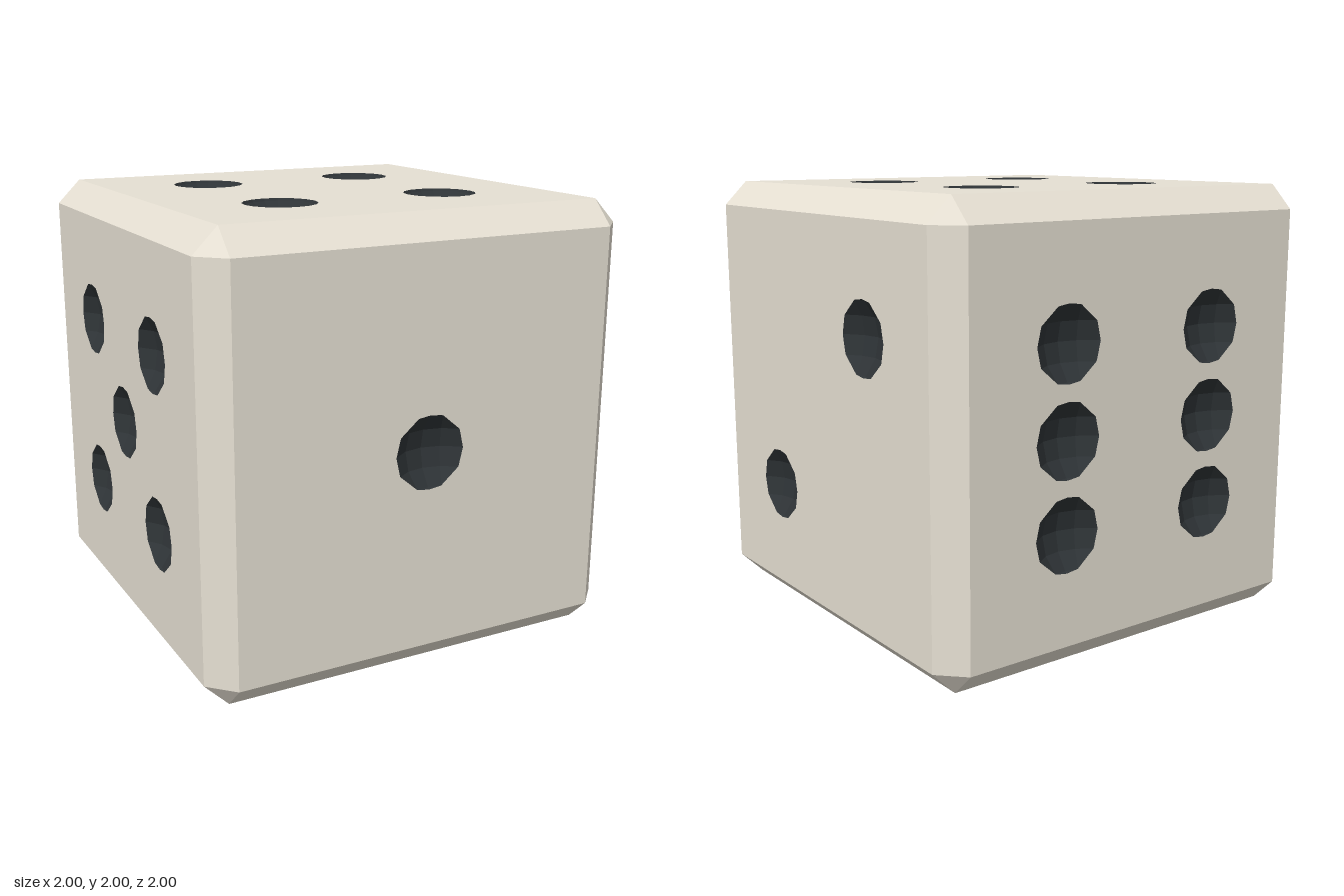
import * as THREE from 'three';

const H = 1;          // half size of the cube
const F = 0.89;       // half size of a flat face inside the chamfer
const S = 0.4;        // pip spacing
const R = 0.222;      // radius of the sphere that cuts a pip
const OFFSET = 0.146; // sphere centre above the face

const bodyMat = new THREE.MeshStandardMaterial({ color: 0xe6e0d3, flatShading: true });
const pipMat = new THREE.MeshStandardMaterial({ color: 0x2e3336, flatShading: true });
const V = (x, y, z) => new THREE.Vector3(x, y, z);

// face normal n, in-plane axes u x v = n, and pip positions along u and v
const FACES = [
  { name: 'front', n: V(0, 0, 1), u: V(1, 0, 0), v: V(0, 1, 0), pips: [[0, 0]] },
  { name: 'left', n: V(1, 0, 0), u: V(0, 0, -1), v: V(0, 1, 0), pips: [[1, 1], [-1, -1]] },
  { name: 'bottom', n: V(0, -1, 0), u: V(1, 0, 0), v: V(0, 0, 1), pips: [[1, -1], [0, 0], [-1, 1]] },
  { name: 'top', n: V(0, 1, 0), u: V(1, 0, 0), v: V(0, 0, -1), pips: [[1, 1], [1, -1], [-1, 1], [-1, -1]] },
  { name: 'right', n: V(-1, 0, 0), u: V(0, 0, 1), v: V(0, 1, 0), pips: [[1, 1], [1, -1], [0, 0], [-1, 1], [-1, -1]] },
  { name: 'back', n: V(0, 0, -1), u: V(-1, 0, 0), v: V(0, 1, 0), pips: [[1, 1], [1, 0], [1, -1], [-1, 1], [-1, 0], [-1, -1]] },
];

function geometryFrom(points) {
  const g = new THREE.BufferGeometry().setFromPoints(points);
  g.computeVertexNormals();
  return g;
}

// bowl below a face: a faceted sphere clipped by the face plane and turned inside out
function makeBowl({ n, u, v }) {
  const pos = new THREE.SphereGeometry(R, 16, 8).toNonIndexed().attributes.position;
  const out = [], rim = [];
  for (let i = 0; i < pos.count; i += 3) {
    const tri = [0, 1, 2].map(k => new THREE.Vector3().fromBufferAttribute(pos, i + k).addScaledVector(n, OFFSET));
    const kept = [];
    tri.forEach((a, k) => {
      const b = tri[(k + 1) % 3], da = a.dot(n), db = b.dot(n);
      if (da <= 0) kept.push(a);
      if ((da <= 0) !== (db <= 0)) {
        const p = a.clone().lerp(b, da / (da - db));
        kept.push(p);
        rim.push(new THREE.Vector2(p.dot(u), p.dot(v)));
      }
    });
    for (let k = 1; k + 1 < kept.length; k++) out.push(kept[0], kept[k + 1], kept[k]);
  }
  // ordered rim outline without repeated points
  rim.sort((a, b) => a.angle() - b.angle());
  const outline = rim.filter((p, k) => p.distanceTo(rim[(k + 1) % rim.length]) > 1e-4);
  return { geometry: geometryFrom(out), outline };
}

// flat face with pip holes, and its bowls
function makeFace(face) {
  const { name, n, u, v, pips } = face;
  const group = new THREE.Group();
  group.name = name + 'Face';
  group.position.copy(n).multiplyScalar(H);
  const { geometry, outline } = makeBowl(face);
  const shape = new THREE.Shape([[-F, -F], [F, -F], [F, F], [-F, F]].map(p => new THREE.Vector2(...p)));
  pips.forEach(([a, b], i) => {
    const c = new THREE.Vector2(a * S, b * S);
    shape.holes.push(new THREE.Path(outline.map(p => p.clone().add(c))));
    const bowl = new THREE.Mesh(geometry, pipMat);
    bowl.name = name + 'Pip' + (i + 1);
    bowl.position.addScaledVector(u, c.x).addScaledVector(v, c.y);
    group.add(bowl);
  });
  const plate = new THREE.ShapeGeometry(shape).applyMatrix4(new THREE.Matrix4().makeBasis(u, v, n));
  const mesh = new THREE.Mesh(plate, bodyMat);
  mesh.name = name + 'Plate';
  group.add(mesh);
  return group;
}

// chamfered edges and corners
function makeChamfers() {
  const out = [];
  const onFace = (axis, s) => V(...s.map((q, k) => q * (k === axis ? H : F)));
  const tri = (a, b, c) => {
    const normal = b.clone().sub(a).cross(c.clone().sub(a));
    normal.dot(a) > 0 ? out.push(a, b, c) : out.push(a, c, b);
  };
  for (const s of [-1, 1]) for (const t of [-1, 1]) {
    for (let k = 0; k < 3; k++) {
      const i = (k + 1) % 3, j = (k + 2) % 3;
      const ends = [-1, 1].map(e => { const c = []; c[k] = e; c[i] = s; c[j] = t; return c; });
      const [a, b] = ends.map(c => onFace(i, c));
      const [d, e] = ends.map(c => onFace(j, c));
      tri(a, b, e);
      tri(a, e, d);
    }
    for (const w of [-1, 1]) tri(...[0, 1, 2].map(k => onFace(k, [s, t, w])));
  }
  const mesh = new THREE.Mesh(geometryFrom(out), bodyMat);
  mesh.name = 'chamferedEdges';
  return mesh;
}

export function createModel() {
  const die = new THREE.Group();
  die.name = 'die';
  die.add(makeChamfers(), ...FACES.map(makeFace));
  die.position.y = H;
  const model = new THREE.Group();
  model.name = 'dieModel';
  model.add(die);
  return model;
}
